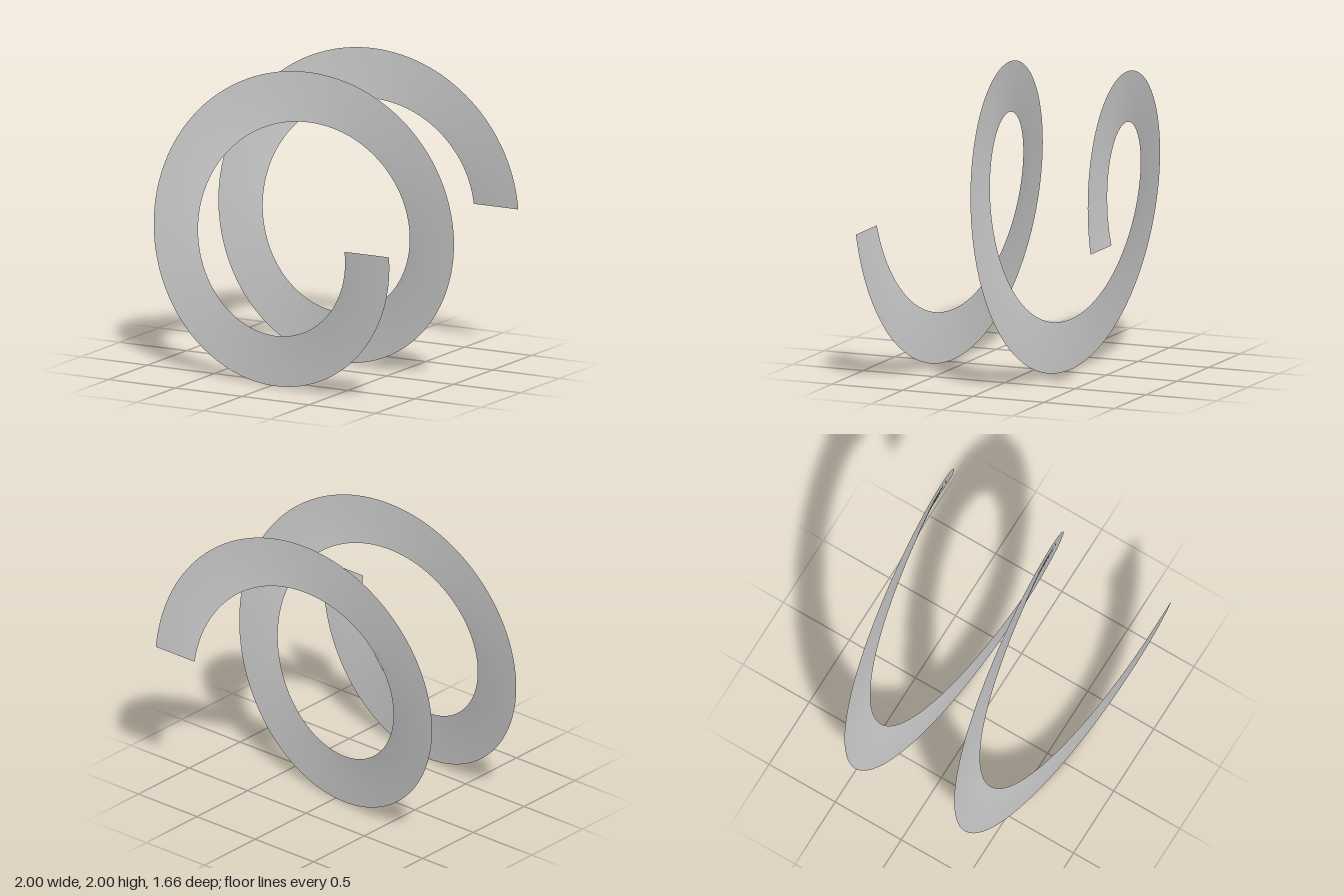
import * as THREE from 'three';
import { ParametricGeometry } from 'three/addons/geometries/ParametricGeometry.js';

const TURNS = 2;
const OUTER = 1;
const INNER = 0.667;
const LENGTH = 1.66;

export function createModel() {
  const group = new THREE.Group();
  group.name = 'helicalRibbon';

  // Flat radial ribbon winding around the z axis, from back to front
  const helicoid = (u, v, target) => {
    const angle = u * TURNS * Math.PI * 2;
    const radius = THREE.MathUtils.lerp(OUTER, INNER, v);
    target.set(
      radius * Math.cos(angle),
      1 + radius * Math.sin(angle),
      (u - 0.5) * LENGTH
    );
  };

  const ribbon = new THREE.Mesh(
    new ParametricGeometry(helicoid, 256, 6),
    new THREE.MeshStandardMaterial({ color: 0xcccccc, side: THREE.DoubleSide })
  );
  ribbon.name = 'ribbon';
  group.add(ribbon);

  return group;
}
